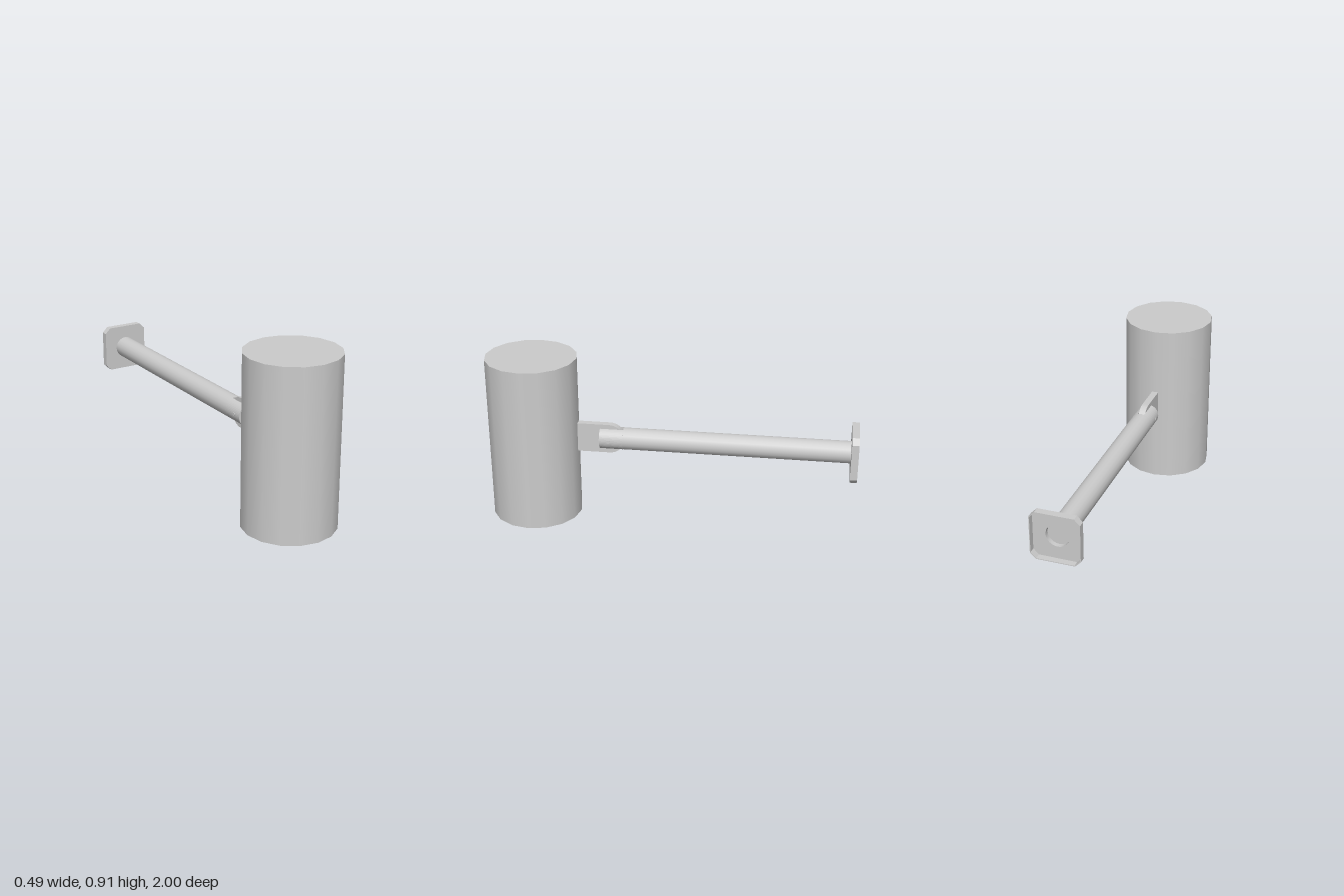
import * as THREE from 'three';

const grey = new THREE.MeshStandardMaterial({ color: 0xcccccc });
const thin = new THREE.MeshStandardMaterial({ color: 0xcccccc, side: THREE.DoubleSide });

const ROD_Y = 0.46, ROD_R = 0.06, SLOT = 0.018, PIVOT_Z = 0.335;

function add(parent, name, geometry, material = grey) {
  const mesh = new THREE.Mesh(geometry, material);
  mesh.name = name;
  parent.add(mesh);
  return mesh;
}

// Square outline with cut corners
function cutSquare(Type, half, cut) {
  const a = half, b = half - cut;
  return new Type([[a, -b], [a, b], [b, a], [-b, a], [-a, b], [-a, -b], [-b, -a], [b, -a]]
    .map(([x, y]) => new THREE.Vector2(x, y)));
}

const extrude = (shape, depth, curveSegments = 12) =>
  new THREE.ExtrudeGeometry(shape, { depth, bevelEnabled: false, curveSegments });

// Lamp can: closed top, shallow recess with a lens underneath
function makeLamp() {
  const lamp = new THREE.Group();
  lamp.name = 'lampHead';
  const R = 0.247, r = 0.224, H = 0.91, depth = 0.025, sides = 16;
  add(lamp, 'lampBody', new THREE.CylinderGeometry(R, R, H, sides, 1, true).translate(0, H / 2, 0));
  add(lamp, 'lampTop', new THREE.CircleGeometry(R, sides).rotateX(-Math.PI / 2).translate(0, H, 0));
  add(lamp, 'lampRim', new THREE.RingGeometry(r, R, sides).rotateX(Math.PI / 2));
  add(lamp, 'recessWall', new THREE.CylinderGeometry(r, r, depth, sides, 1, true).translate(0, depth / 2, 0), thin);
  add(lamp, 'lens', new THREE.CircleGeometry(r, sides).rotateX(Math.PI / 2).translate(0, depth, 0));
  lamp.position.z = 0.753;
  return lamp;
}

// Flat tab with a round end, held in the fork of the arm
function makeBracket() {
  const r = 0.082, reach = 0.52 - PIVOT_Z;
  const shape = new THREE.Shape();
  shape.moveTo(-reach, -r);
  shape.lineTo(0, -r);
  shape.absarc(0, 0, r, -Math.PI / 2, Math.PI / 2, false);
  shape.lineTo(-reach, r);
  shape.closePath();
  const geometry = extrude(shape, SLOT * 2).translate(0, 0, -SLOT).rotateY(Math.PI / 2);
  return geometry.translate(0, ROD_Y, PIVOT_Z);
}

// Round arm, forked at the lamp end
function makeArm() {
  const arm = new THREE.Group();
  arm.name = 'arm';
  const z0 = -0.965, z1 = 0.258, z2 = 0.385, plug = -0.942;
  const tube = new THREE.CylinderGeometry(ROD_R, ROD_R, z1 - z0, 20, 1, true);
  add(arm, 'armTube', tube.rotateX(Math.PI / 2).translate(0, 0, (z0 + z1) / 2), thin);
  add(arm, 'armEnd', new THREE.CircleGeometry(ROD_R, 20).translate(0, 0, z1));
  add(arm, 'armPlug', new THREE.CircleGeometry(ROD_R, 20).rotateY(Math.PI).translate(0, 0, plug));

  const angle = Math.acos(SLOT / ROD_R);
  for (const side of [0, Math.PI]) {
    const segment = new THREE.Shape();
    segment.absarc(0, 0, ROD_R, side - angle, side + angle, false);
    segment.closePath();
    add(arm, 'forkProng', extrude(segment, z2 - z1, 10).translate(0, 0, z1));
  }
  const pin = new THREE.CylinderGeometry(0.009, 0.009, 0.124, 10);
  add(arm, 'pivotPin', pin.rotateZ(Math.PI / 2).translate(0, 0, PIVOT_Z));
  arm.position.y = ROD_Y;
  return arm;
}

// Wall plate: shallow tray, open at the back, with a hole for the arm
function makeWallPlate() {
  const plate = new THREE.Group();
  plate.name = 'wallPlate';
  const half = 0.13, cut = 0.03, wall = 0.004, depth = 0.038;
  const face = cutSquare(THREE.Shape, half, cut);
  face.holes.push(new THREE.Path().absarc(0, 0, ROD_R, 0, Math.PI * 2, true));
  add(plate, 'plateFace', extrude(face, wall, 20).translate(0, 0, depth - wall));
  const rim = cutSquare(THREE.Shape, half, cut);
  rim.holes.push(cutSquare(THREE.Path, half - wall, cut - wall * 0.4));
  add(plate, 'plateRim', extrude(rim, depth - wall));
  plate.position.set(0, ROD_Y, -1);
  return plate;
}

export function createModel() {
  const model = new THREE.Group();
  model.name = 'wallSpotlight';
  model.add(makeLamp(), makeArm(), makeWallPlate());
  add(model, 'bracket', makeBracket());
  return model;
}
